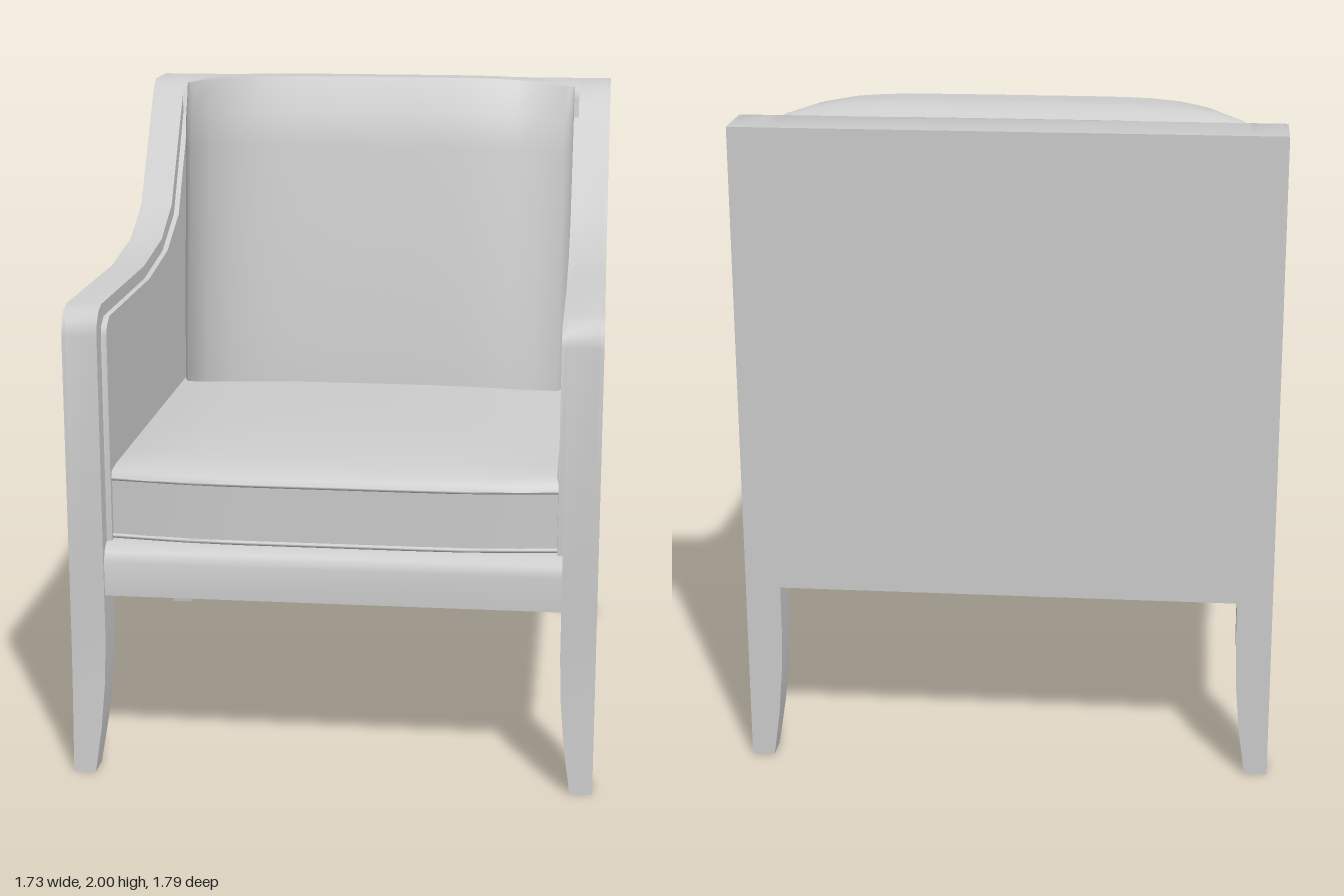
import * as THREE from 'three';
import { toCreasedNormals } from 'three/addons/utils/BufferGeometryUtils.js';

const material = new THREE.MeshStandardMaterial({ color: 0xcccccc });

// Side outlines as [z, y]
const armOutline = [
  [-0.815, 0.56], [0.81, 0.56], [0.81, 1.36], [0.8, 1.4], [0.775, 1.43], [0.735, 1.443],
  [0.13, 1.443], [-0.16, 1.48], [-0.34, 1.567], [-0.57, 1.905], [-0.595, 1.94], [-0.635, 1.965], [-0.815, 1.965],
];
const panelOutline = [
  [-0.765, 0.72], [0.755, 0.72], [0.755, 1.35], [0.745, 1.38], [0.71, 1.402],
  [0.13, 1.402], [-0.17, 1.44], [-0.375, 1.53], [-0.6, 1.885], [-0.635, 1.92], [-0.765, 1.92],
];
const backOutline = [
  [-0.815, 0.6], [-0.58, 0.6], [-0.58, 1.92], [-0.597, 1.945], [-0.635, 1.965], [-0.815, 1.965],
];
const railOutline = [
  [-0.815, 0.56], [0.8, 0.56], [0.8, 0.665], [0.79, 0.695], [0.765, 0.715], [0.72, 0.722], [-0.815, 0.722],
];
const points = (list) => list.map(([z, y]) => new THREE.Vector2(z, y));

function addMesh(parent, name, geometry, crease = 0.7) {
  const mesh = new THREE.Mesh(toCreasedNormals(geometry, crease), material);
  mesh.name = name;
  parent.add(mesh);
  return mesh;
}

// Extrudes a side outline across the chair from x0 to x1
function addSlab(parent, name, outline, x0, x1, hole) {
  const shape = new THREE.Shape(points(outline));
  if (hole) shape.holes.push(new THREE.Path(points(hole)));
  const geometry = new THREE.ExtrudeGeometry(shape, { depth: x1 - x0, bevelEnabled: false });
  geometry.rotateY(-Math.PI / 2).translate(x1, 0, 0);
  return addMesh(parent, name, geometry);
}

// Reshapes a divided box; the rule maps (u, v, w), each -1 to 1, to a position
function mouldedBox(nx, ny, nz, rule) {
  const geometry = new THREE.BoxGeometry(2, 2, 2, nx, ny, nz);
  const p = geometry.attributes.position;
  for (let i = 0; i < p.count; i++) {
    p.setXYZ(i, ...rule(p.getX(i), p.getY(i), p.getZ(i)));
  }
  return geometry;
}

const lerp = THREE.MathUtils.lerp;

// Tapered leg: straight outer faces, inner faces curve towards the foot
function addLeg(parent, sx, sz) {
  const widthX = [0.068, 0.088, 0.1, 0.105, 0.105];
  const widthZ = [0.08, 0.102, 0.125, 0.135, 0.135];
  const toe = [0.022, 0.013, 0.005, 0, 0];
  const geometry = mouldedBox(1, 4, 1, (u, v, w) => {
    const k = Math.round((v + 1) * 2);
    const outerZ = sz > 0 ? 0.81 + toe[k] : 0.815;
    return [
      sx * (0.79 - widthX[k] / 2) + (u * widthX[k]) / 2,
      k * 0.1405,
      sz * (outerZ - widthZ[k] / 2) + (w * widthZ[k]) / 2,
    ];
  });
  addMesh(parent, sz > 0 ? 'frontLeg' : 'rearLeg', geometry);
}

export function createModel() {
  const model = new THREE.Group();
  model.name = 'armchair';
  const chair = new THREE.Group();
  chair.name = 'chairBody';
  chair.rotation.y = 0.097; // the chair stands slightly turned
  model.add(chair);

  // Arms: solid core, raised border around a sunken outer panel, inner padding
  for (const s of [-1, 1]) {
    const slab = (name, outline, a, b, hole) =>
      addSlab(chair, name, outline, Math.min(s * a, s * b), Math.max(s * a, s * b), hole);
    slab('arm', armOutline, 0.685, 0.78, null);
    slab('armBorder', armOutline, 0.78, 0.79, panelOutline);
    slab('armInnerPadding', panelOutline, 0.668, 0.685, null);
    for (const sz of [-1, 1]) addLeg(chair, s, sz);
  }

  // Back and seat rail between the arms
  addSlab(chair, 'back', backOutline, -0.685, 0.685);
  addSlab(chair, 'seatRail', railOutline, -0.685, 0.685);

  // Seat cushion: boxed band below, crowned top
  const front = (u) => 0.77 - 0.03 * u ** 4;
  addMesh(chair, 'seatCushionBand', mouldedBox(12, 1, 1, (u, v, w) => [
    u * 0.667, v > 0 ? 0.912 : 0.73, w > 0 ? front(u) : -0.58,
  ]));
  addMesh(chair, 'seatCushionTop', mouldedBox(12, 2, 12, (u, v, w) => {
    const t = (v + 1) / 2;
    const crown = 0.948 + 0.04 * (1 - u ** 4) * (1 - Math.max(w, 0) ** 4);
    const inset = 0.035 * t * t;
    return [u * (0.672 - inset * 0.3), lerp(0.912, crown, t), w > 0 ? lerp(-0.58, front(u) + 0.006 - inset, (w + 1) / 2)
      : lerp(-0.58, front(u) + 0.006 - inset, (w + 1) / 2)];
  }), 0.9);

  // Piping along the top and bottom of the band
  for (const y of [0.912, 0.732]) {
    const path = new THREE.CatmullRomCurve3(
      [-1, -0.6, 0, 0.6, 1].map((u) => new THREE.Vector3(u * 0.667, y, front(u) + 0.002)));
    addMesh(chair, 'seatCushionPiping', new THREE.TubeGeometry(path, 16, 0.007, 6), 2);
  }

  // Back cushion: leaning front, rounded ends and softened top edge
  addMesh(chair, 'backCushion', mouldedBox(16, 10, 6, (u, v, w) => {
    const t = (v + 1) / 2;
    const ends = Math.abs(u) ** 6;
    const zFront = lerp(-0.215, -0.39, t ** 1.25) - 0.11 * ends - 0.05 * Math.max(0, t - 0.9) * 10;
    const top = 1.998 - 0.04 * ends - (w < 0 ? 0.035 * w * w : 0);
    const x = u * (0.668 - 0.03 * Math.max(0, w) ** 2);
    return [x, lerp(0.88, top, t), lerp(-0.62, zFront, (w + 1) / 2)];
  }), 0.8);

  return model;
}
